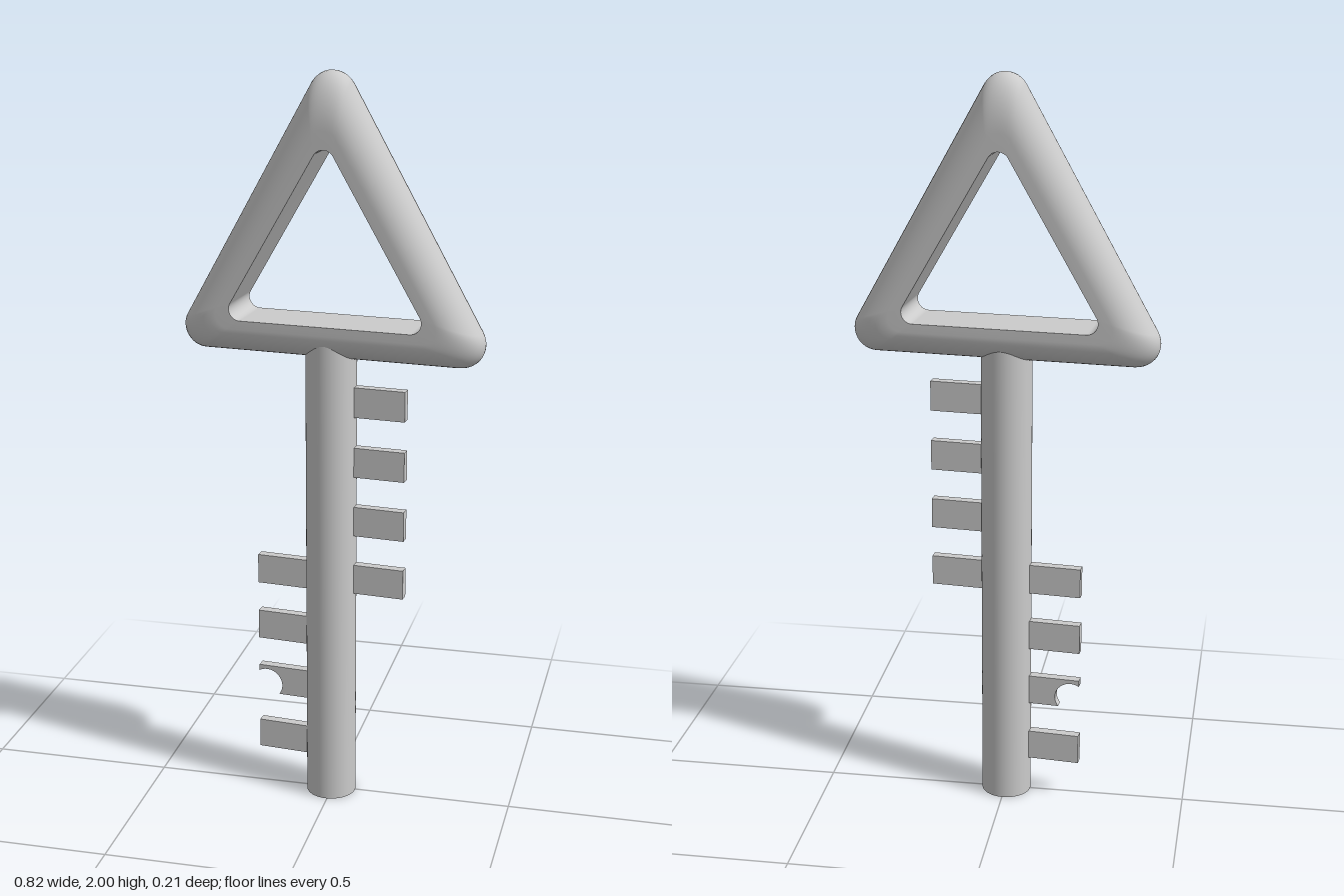
import * as THREE from 'three';

const material = new THREE.MeshStandardMaterial({ color: 0xcccccc });

// Rounded triangle outline, counter-clockwise, corner centres plus a corner radius
function roundedTriangle(halfWidth, bottom, top, r, steps = 12) {
  const corners = [[halfWidth, bottom, -90], [0, top, 30], [-halfWidth, bottom, 150]];
  const points = [];
  for (const [x, y, start] of corners) {
    for (let i = 0; i <= steps; i++) {
      const a = THREE.MathUtils.degToRad(start + (120 * i) / steps);
      points.push([x + r * Math.cos(a), y + r * Math.sin(a)]);
    }
  }
  return points;
}

// Sweep a profile of [t, z] between the inner (t = 0) and outer (t = 1) outlines
function ringSurface(inner, outer, profile) {
  const positions = [], index = [], n = inner.length;
  for (const [t, z] of profile) {
    for (let i = 0; i < n; i++) {
      positions.push(
        THREE.MathUtils.lerp(inner[i][0], outer[i][0], t),
        THREE.MathUtils.lerp(inner[i][1], outer[i][1], t), z);
    }
  }
  for (let j = 0; j < profile.length - 1; j++) {
    for (let i = 0; i < n; i++) {
      const k = (i + 1) % n;
      const a = j * n + i, b = j * n + k, c = a + n, d = b + n;
      index.push(a, b, c, b, d, c);
    }
  }
  const geometry = new THREE.BufferGeometry();
  geometry.setAttribute('position', new THREE.Float32BufferAttribute(positions, 3));
  geometry.setIndex(index);
  geometry.computeVertexNormals();
  return geometry;
}

function addMesh(parent, name, geometry) {
  const mesh = new THREE.Mesh(geometry, material);
  mesh.name = name;
  parent.add(mesh);
  return mesh;
}

export function createModel() {
  const model = new THREE.Group();
  model.name = 'key';

  // Round shaft, its top buried in the handle
  const shaft = addMesh(model, 'shaft', new THREE.CylinderGeometry(0.068, 0.068, 1.31, 48));
  shaft.position.set(-0.003, 0.655, 0.003);

  // Handle and teeth share a slight twist about the shaft
  const twisted = new THREE.Group();
  twisted.name = 'handleAndTeeth';
  twisted.rotation.y = -0.087;
  model.add(twisted);

  // Triangular handle: rounded outside, flat wall inside the opening
  const half = 0.078;
  const inner = roundedTriangle(0.23, 1.385, 1.78, 0.03);
  const outer = roundedTriangle(0.35, 1.32, 1.94, 0.06);
  const shell = [[0, -half]];
  for (let i = 0; i <= 20; i++) {
    const a = -Math.PI / 2 + (Math.PI * i) / 20;
    shell.push([0.25 + 0.75 * Math.cos(a), half * Math.sin(a)]);
  }
  shell.push([0, half]);
  const handle = new THREE.Group();
  handle.name = 'handle';
  twisted.add(handle);
  addMesh(handle, 'handleShell', ringSurface(inner, outer, shell));
  addMesh(handle, 'handleOpening', ringSurface(inner, outer, [[0, half], [0, -half]]));

  // Flat teeth, upper row on the left, lower row on the right
  const thickness = 0.026, height = 0.082;
  const addTooth = (name, x, y) => {
    const tooth = addMesh(twisted, name, new THREE.BoxGeometry(0.16, height, thickness));
    tooth.position.set(x, y, 0.003);
  };
  for (let i = 0; i < 4; i++) addTooth('leftTooth', 0.123, 1.143 - i * 0.166);
  for (const y of [0.643, 0.478, 0.145]) addTooth('rightTooth', -0.13, y);

  // One tooth has a round bite out of its lower outer corner
  const cx = -0.187, cy = 0.3, r = 0.044, low = 0.273, left = -0.21;
  const startAngle = Math.asin((low - cy) / r);
  const endAngle = Math.acos((left - cx) / r);
  const bitten = new THREE.Shape();
  bitten.moveTo(-0.05, low);
  bitten.lineTo(-0.05, low + height);
  bitten.lineTo(left, low + height);
  bitten.lineTo(left, cy + r * Math.sin(endAngle));
  bitten.absarc(cx, cy, r, endAngle, startAngle, true);
  bitten.closePath();
  const notched = addMesh(twisted, 'notchedTooth',
    new THREE.ExtrudeGeometry(bitten, { depth: thickness, bevelEnabled: false, curveSegments: 20 }));
  notched.position.z = 0.003 - thickness / 2;

  return model;
}
